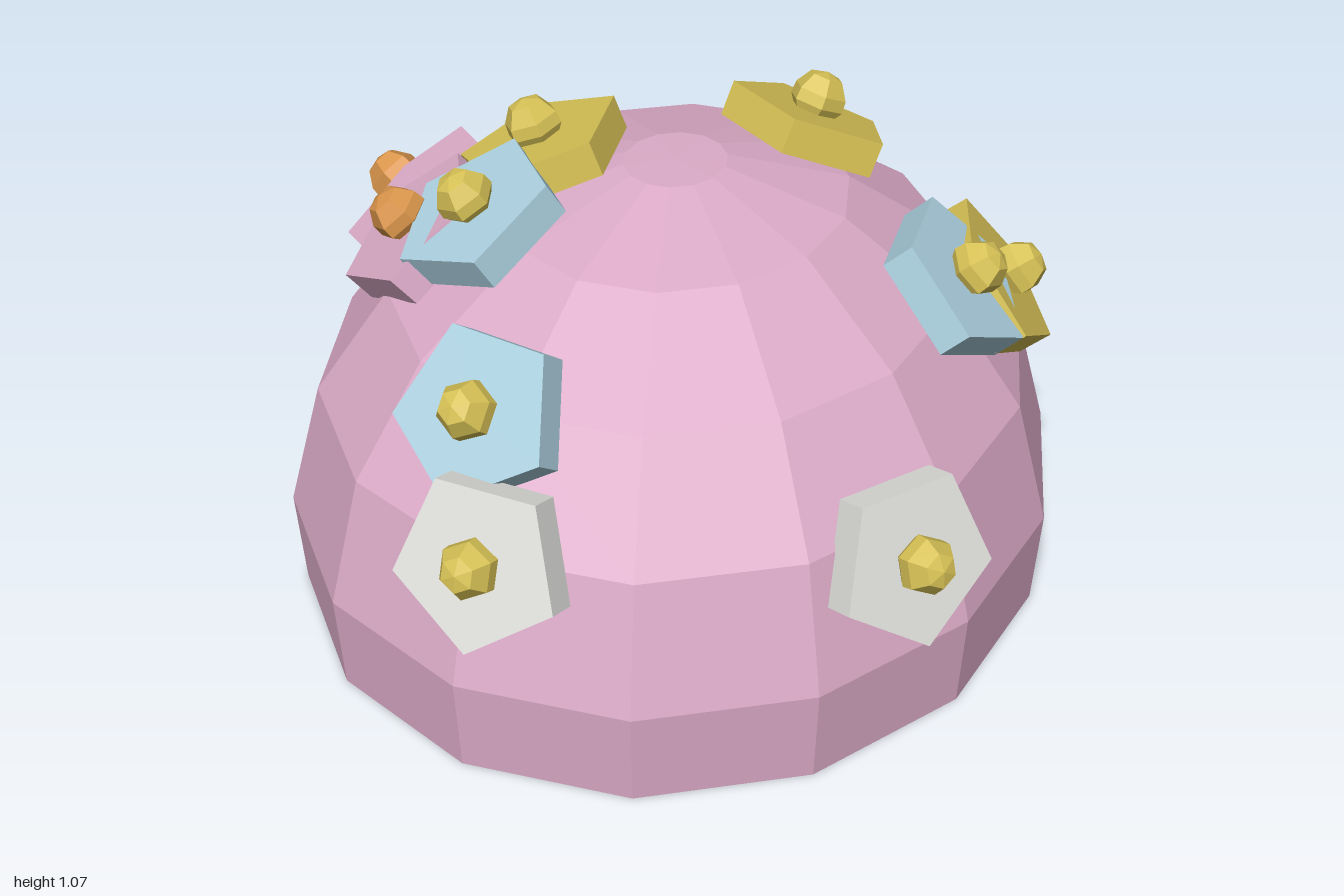
import * as THREE from 'three';

const mat = (name, color) => {
  const m = new THREE.MeshStandardMaterial({ color, flatShading: true });
  m.name = name;
  return m;
};

export function createModel() {
  const pink = mat('pink', 0xdcabc8);
  const white = mat('white', 0xe0e0dc);
  const blue = mat('pale blue', 0xabcfde);
  const gold = mat('gold', 0xd6c155);
  const orange = mat('orange', 0xd8944a);

  const model = new THREE.Group();
  model.name = 'floweredDome';

  const lathe = (pts, sides, start = 0) =>
    new THREE.LatheGeometry(pts.map(([r, y]) => new THREE.Vector2(r, y)), sides, start);

  // Faceted dome with a closed base, longer front to back
  const dome = new THREE.Mesh(lathe([
    [0, 0], [0.818, 0], [0.835, 0.215], [0.764, 0.49],
    [0.606, 0.715], [0.37, 0.885], [0.11, 0.965], [0, 0.967],
  ], 14, Math.PI / 2), pink);
  dome.name = 'dome';
  dome.scale.z = 1.114;
  dome.position.z = 0.01;
  model.add(dome);

  // Five-sided flower plate and its rounded centre
  const plateGeo = new THREE.CylinderGeometry(0.185, 0.185, 0.078, 5);
  const knobGeo = lathe([[0, -0.058], [0.036, -0.05], [0.062, -0.012],
    [0.06, 0.015], [0.037, 0.05], [0, 0.06]], 6);

  // Each flower: position of its centre, plate colour, centre colour
  const flowers = [
    [-0.13, 0.535, 0.94, white, gold],
    [0.69, 0.47, 0.585, white, gold],
    [-0.2, 0.76, 0.74, blue, gold],
    [-0.37, 0.96, 0.28, blue, gold],
    [0.65, 0.8, -0.015, blue, gold],
    [0.705, 0.71, -0.19, gold, gold],
    [-0.31, 1.01, 0.025, gold, gold],
    [0.23, 0.995, -0.295, gold, gold],
    [-0.54, 0.865, 0.23, pink, orange],
    [-0.72, 0.71, -0.18, pink, orange],
    [0.06, 0.505, -0.94, pink, orange],
  ];

  const heart = new THREE.Vector3(0, 0.2, 0);
  for (const [x, y, z, plateMat, knobMat] of flowers) {
    const flower = new THREE.Group();
    flower.name = 'flower';
    flower.position.set(x, y, z);

    // Face straight out of the dome, one corner pointing downhill
    const out = flower.position.clone().sub(heart).normalize();
    const down = new THREE.Vector3(0, -1, 0).addScaledVector(out, out.y).normalize();
    const side = new THREE.Vector3().crossVectors(out, down);
    flower.quaternion.setFromRotationMatrix(new THREE.Matrix4().makeBasis(side, out, down));

    const plate = new THREE.Mesh(plateGeo, plateMat);
    plate.name = 'petalPlate';
    plate.position.y = -0.067;
    const knob = new THREE.Mesh(knobGeo, knobMat);
    knob.name = 'flowerCentre';
    flower.add(plate, knob);
    model.add(flower);
  }
  return model;
}
